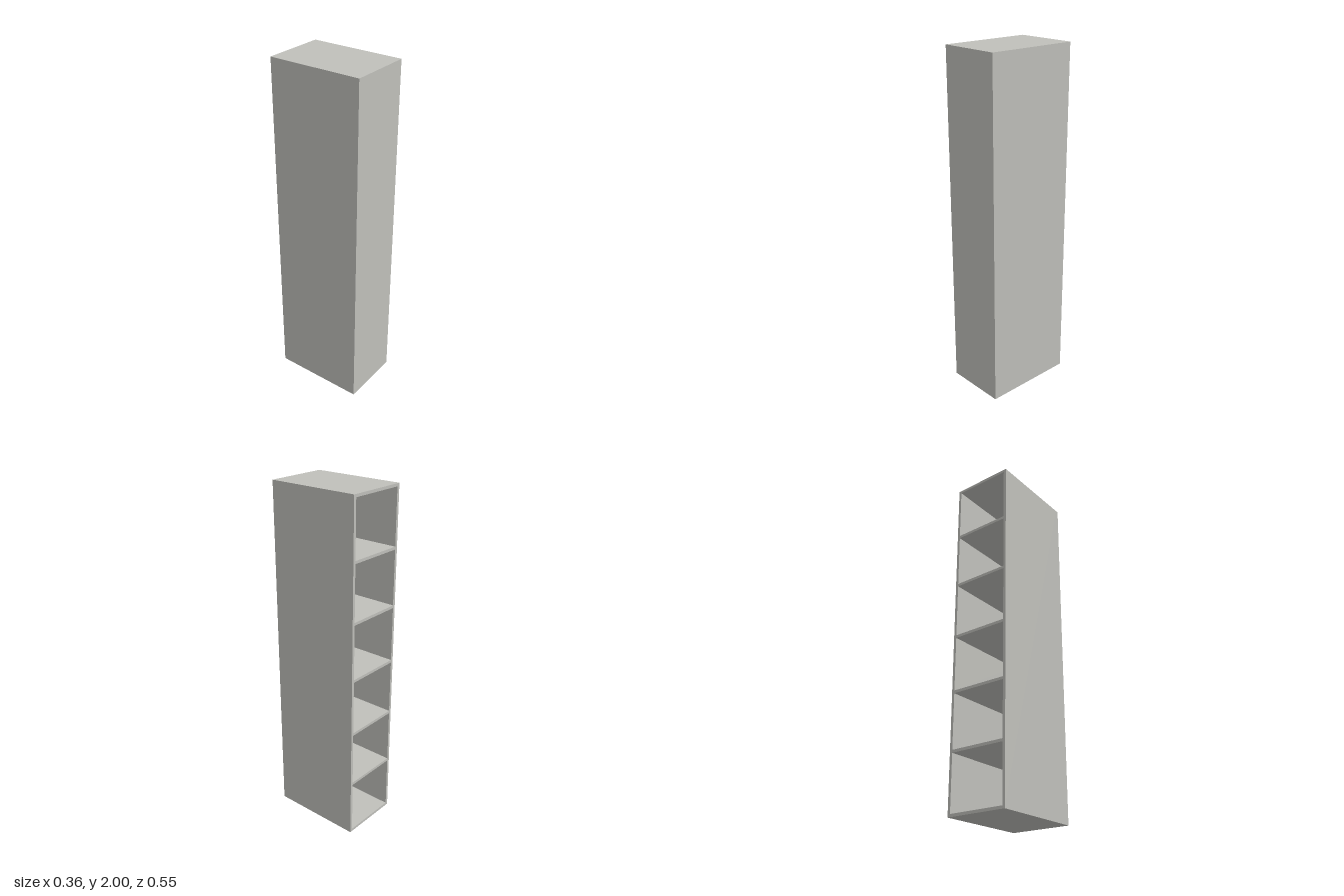
import * as THREE from 'three';

const W = 0.364, H = 2, D = 0.546; // overall size
const T = 0.016;                   // board thickness
const BAYS = 6;

// Rectangle outline from its lower left corner
function rect(Type, x, y, w, h) {
  const p = new Type();
  p.moveTo(x, y);
  p.lineTo(x + w, y);
  p.lineTo(x + w, y + h);
  p.lineTo(x, y + h);
  p.closePath();
  return p;
}

export function createModel() {
  const group = new THREE.Group();
  group.name = 'tallShelfCabinet';
  const board = new THREE.MeshStandardMaterial({ color: 0xc0c0bb });
  board.name = 'pale grey board';

  // Sides, top, bottom and shelves: one frame with six equal bays
  const outline = rect(THREE.Shape, -W / 2, 0, W, H);
  const pitch = (H - T) / BAYS;
  for (let i = 0; i < BAYS; i++) {
    outline.holes.push(rect(THREE.Path, -W / 2 + T, T + i * pitch, W - 2 * T, pitch - T));
  }
  const frameGeo = new THREE.ExtrudeGeometry(outline, { depth: D - T, bevelEnabled: false });
  frameGeo.translate(0, 0, -D / 2);
  const frame = new THREE.Mesh(frameGeo, board);
  frame.name = 'shelfFrame';

  // Closed front panel; the bays open to the rear
  const panel = new THREE.Mesh(new THREE.BoxGeometry(W, H, T), board);
  panel.position.set(0, H / 2, D / 2 - T / 2);
  panel.name = 'frontPanel';

  group.add(frame, panel);
  return group;
}
